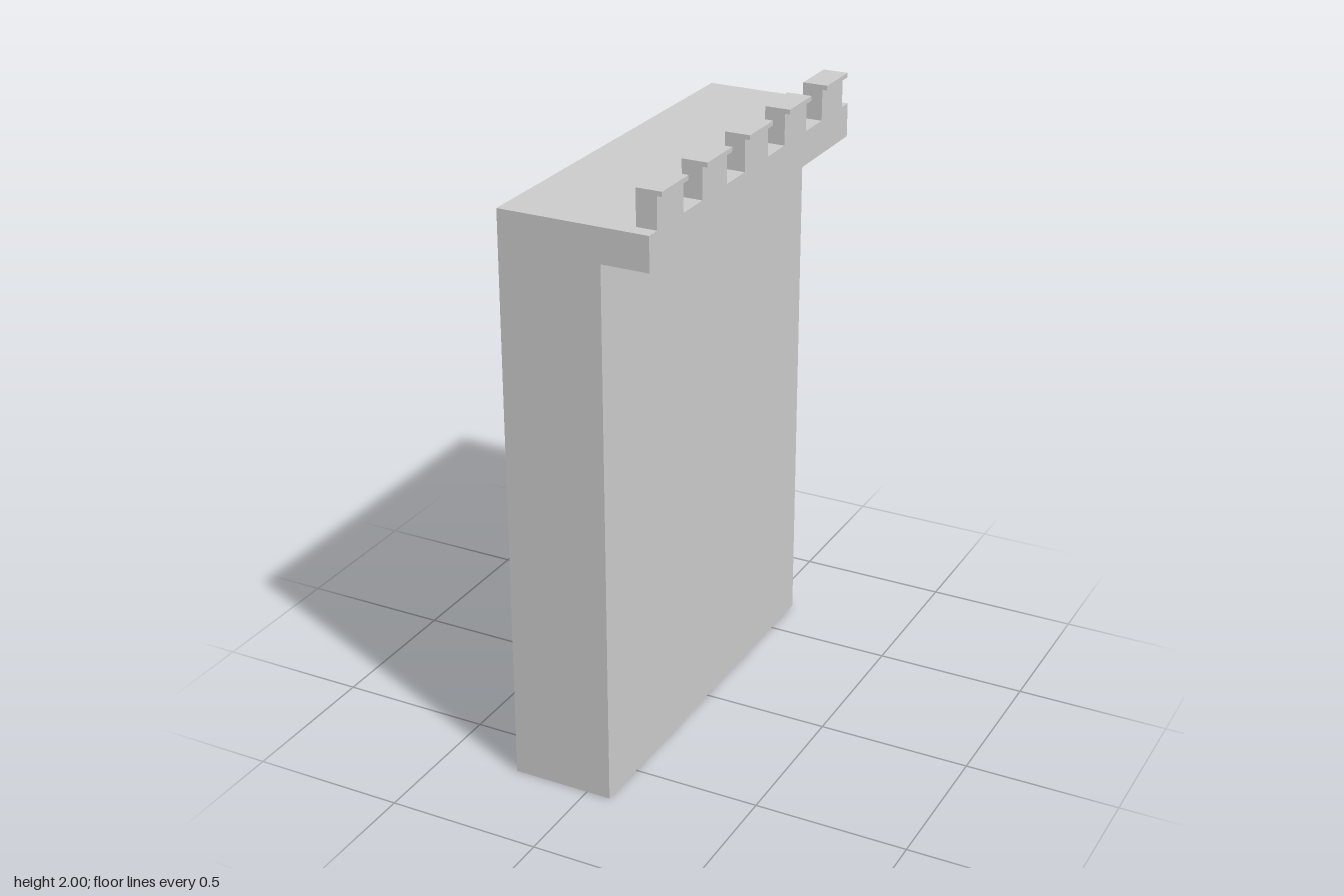
import * as THREE from 'three';

const material = new THREE.MeshStandardMaterial({
  color: 0xcccccc, flatShading: true, side: THREE.DoubleSide,
});

// Extrude an x-y profile along z, centred on z = 0
function extrudeProfile(points, depth) {
  const shape = new THREE.Shape(points.map(([x, y]) => new THREE.Vector2(x, y)));
  return new THREE.ExtrudeGeometry(shape, { depth, bevelEnabled: false })
    .translate(0, 0, -depth / 2);
}

// Drop the triangles lying on the ground, leaving a hollow shell
function openBottom(geometry) {
  const p = geometry.getAttribute('position');
  const kept = [];
  for (let i = 0; i < p.count; i += 3) {
    if ([0, 1, 2].every((k) => Math.abs(p.getY(i + k)) < 1e-6)) continue;
    for (let k = 0; k < 3; k++) kept.push(p.getX(i + k), p.getY(i + k), p.getZ(i + k));
  }
  const shell = new THREE.BufferGeometry();
  shell.setAttribute('position', new THREE.Float32BufferAttribute(kept, 3));
  shell.computeVertexNormals();
  return shell;
}

export function createModel() {
  const model = new THREE.Group();
  model.name = 'battlementWall';

  const back = -0.253, face = 0.08, ledge = 0.234, lip = 0.25;
  const walkway = 1.885, top = 2;

  // Wall with overhanging parapet ledge, open underneath
  const wall = new THREE.Mesh(openBottom(extrudeProfile([
    [back, 0], [face, 0], [face, 1.775], [ledge, 1.775], [ledge, walkway], [back, walkway],
  ], 1.35)), material);
  wall.name = 'wall';
  model.add(wall);

  // Five merlons, each with a thin lip projecting outward
  const merlonGeometry = extrudeProfile([
    [0.168, walkway], [ledge, walkway], [ledge, 1.985], [lip, 1.985], [lip, top], [0.168, top],
  ], 0.157);
  for (let i = -2; i <= 2; i++) {
    const merlon = new THREE.Mesh(merlonGeometry, material);
    merlon.name = 'merlon';
    merlon.position.z = i * 0.275;
    model.add(merlon);
  }
  return model;
}
